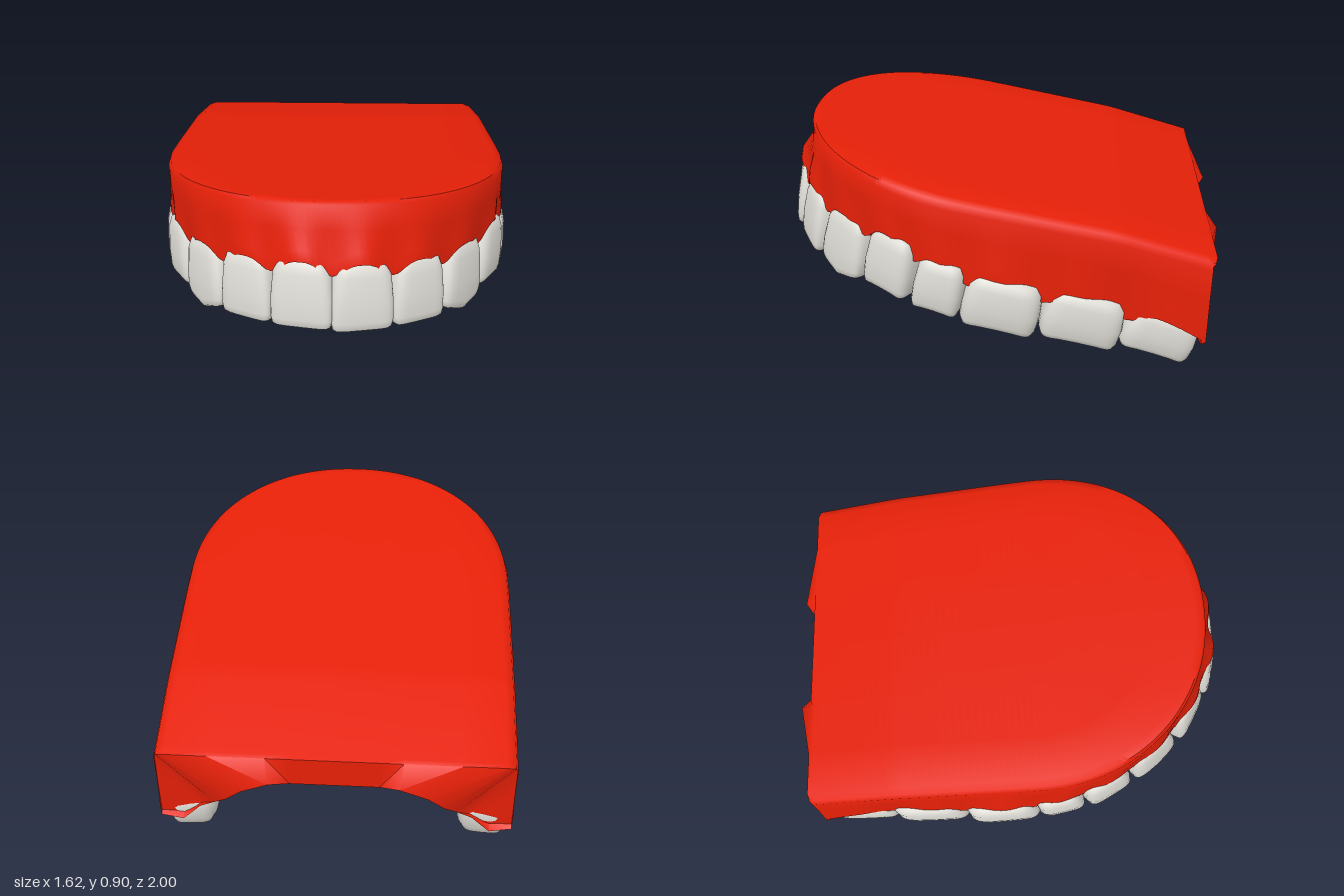
import * as THREE from 'three';
import { toCreasedNormals } from 'three/addons/utils/BufferGeometryUtils.js';

// One side of the arch, front to back: name, outer face x and z, yaw, width, depth,
// middle height, crown height, tilt, extra height on the right side
const TEETH = [
  ['centralIncisor', 0.13, 0.965, 0.22, 0.262, 0.19, 0.52, 0.295, 0.2, 0.012],
  ['lateralIncisor', 0.37, 0.86, 0.52, 0.245, 0.19, 0.49, 0.285, 0.2, 0.01],
  ['canine', 0.573, 0.68, 0.87, 0.265, 0.21, 0.45, 0.3, 0.2, -0.005],
  ['firstPremolar', 0.72, 0.455, 1.08, 0.245, 0.23, 0.44, 0.28, 0.2, -0.015],
  ['secondPremolar', 0.79, 0.225, 1.4, 0.225, 0.25, 0.365, 0.25, 0.2, 0],
  ['firstMolar', 0.81, -0.05, 1.55, 0.345, 0.27, 0.29, 0.25, 0.2, 0],
  ['secondMolar', 0.785, -0.4, 1.6, 0.36, 0.26, 0.22, 0.24, 0.22, 0.01],
  ['thirdMolar', 0.755, -0.735, 1.63, 0.335, 0.23, 0.14, 0.2, 0.33, 0.02],
];

function buildGeometry(positions, index, crease) {
  const geo = new THREE.BufferGeometry();
  geo.setAttribute('position', new THREE.Float32BufferAttribute(positions, 3));
  geo.setIndex(index);
  return toCreasedNormals(geo, crease);
}

// Crown: rounded-square loops stacked from the gum down to the biting edge
function toothGeometry(kind, w, d, h) {
  const levels = [0, 0.06, 0.22, 0.6, 0.88, 0.97, 1];
  const widths = [0.56, 0.78, 0.93, 1, 0.98, 0.93, 0.84];
  const fronts = [0.12, 0.05, 0.01, 0, 0.03, 0.06, 0.1];
  const backs = kind < 3 ? [0.8, 0.95, 1, 0.8, 0.5, 0.42, 0.36] : [0.8, 0.92, 1, 0.98, 0.88, 0.82, 0.74];
  const seg = 28;
  const pos = [];
  const index = [];
  const soft = (v) => Math.sign(v) * Math.pow(Math.abs(v), 0.45);
  levels.forEach((v, i) => {
    const mid = -d * (fronts[i] + backs[i]) / 2;
    const half = d * (backs[i] - fronts[i]) / 2;
    for (let s = 0; s < seg; s++) {
      const a = (s / seg) * Math.PI * 2;
      const cx = soft(Math.cos(a));
      const cz = soft(Math.sin(a));
      let y = h * (0.5 - v);
      if (v > 0.8 && kind === 2) y += 0.035 * Math.abs(cx) - 0.012; // pointed canine
      if (v > 0.8 && kind > 2) y += 0.005 * Math.cos(4 * a); // corner cusps
      if (v < 0.3 && kind > 3) y += 0.03 * (1 - cz); // taller inner face
      pos.push(cx * widths[i] * w / 2, y, mid + cz * half);
    }
  });
  for (let i = 0; i < levels.length - 1; i++) {
    for (let s = 0; s < seg; s++) {
      const a = i * seg + s;
      const b = i * seg + (s + 1) % seg;
      index.push(a, b, a + seg, b, b + seg, a + seg);
    }
  }
  // Close the top, and the bottom with a shallow hollow on chewing teeth
  const last = (levels.length - 1) * seg;
  const top = pos.length / 3;
  pos.push(0, h / 2, -d / 2);
  pos.push(0, -h / 2 + (kind > 2 ? 0.025 : 0), -d * (kind < 3 ? 0.23 : 0.42));
  for (let s = 0; s < seg; s++) {
    const n = (s + 1) % seg;
    index.push(top, n, s, top + 1, last + s, last + n);
  }
  return buildGeometry(pos, index, 0.9);
}

// Sloping flat top of the base
const topY = (z) => 0.737 + 0.19 * z - 0.09 * Math.max(0, -0.53 - z);

// Gum and palate: one closed cross-section carried around the arch
function gumGeometry() {
  const side = (s) => TEETH.map((t) => new THREE.Vector3(s * t[1], t[6] + t[7] / 2 + (s < 0 ? t[9] : 0), t[2]));
  const end = (s) => new THREE.Vector3(s * 0.75, 0.13, -0.94);
  const arch = new THREE.CatmullRomCurve3([end(1), ...side(1).reverse(), ...side(-1), end(-1)]);
  const spans = TEETH.length * 2 + 1;
  const steps = spans * 10;
  const K = 18;
  const pos = [];
  const index = [];
  for (let j = 0; j <= steps; j++) {
    const p = arch.getPoint(j / steps);
    const u = (j / steps) * spans;
    const atEnd = j === 0 || j === steps ? 1 : 0;
    // Margin dips between neighbouring teeth
    const dip = u > 1 && u < spans - 1 ? Math.sin(Math.PI * u) ** 2 : 0;
    const margin = p.y - 0.005 - 0.065 * dip ** 1.5;
    // Gum stands further out over the last molars, and higher inside all of them
    const back = THREE.MathUtils.smoothstep(-p.z, 0.45, 0.8);
    const raise = 0.06 * THREE.MathUtils.smoothstep(-p.z, -0.25, 0.1);
    let rx = Math.sign(p.x) * (0.762 - 0.015 * Math.max(0, -p.z));
    let rz = p.z;
    if (p.z > 0.1) {
      const a = Math.atan2(Math.abs(p.x) / 0.762, (p.z - 0.1) / 0.77);
      rx = Math.sign(p.x) * 0.762 * Math.sin(a) ** 0.94;
      rz = 0.1 + 0.77 * Math.cos(a) ** 0.94;
    }
    const sz = Math.min(rz, 0.1);
    const dir = new THREE.Vector2(-p.x, sz - p.z).normalize();
    const inset = (d) => [p.x + dir.x * d, p.z + dir.y * d];
    const rim = (f) => [rx * f, sz + (rz - sz) * f];
    const mix = (a, b, f) => [a[0] + (b[0] - a[0]) * f, a[1] + (b[1] - a[1]) * f];
    const put = ([x, z], y, dz = 0) => pos.push(x, y, z + dz * atEnd);
    const edge = inset(0.022 + 0.015 * dip - 0.027 * back);
    const ty = topY(rz);
    const roof = (f) => topY(rim(f)[1]);
    const round = (rx / 0.76) ** 2;
    // Flat top and softened rim
    for (const f of [0, 0.26, 0.38, 0.7, 0.94]) put(rim(f), roof(f));
    put(rim(0.985), roof(0.985) - 0.012 * round, 0.01);
    put(rim(1), ty - 0.012 - 0.03 * round, 0.035);
    // Outer wall down to the margin
    put(mix(rim(1), edge, 0.15), ty + (p.y - 0.03 - ty) * 0.45, 0.025);
    put(mix(rim(1), edge, 0.85), ty + (margin - ty) * 0.8, 0.035);
    put(edge, margin, 0.04);
    // Underside, hidden by the teeth
    put(inset(0.09), margin - 0.02, 0.05);
    put(inset(0.17), Math.max(margin - 0.04 + raise, 0.2), 0.04);
    // Inner wall and vaulted palate
    const smooth = Math.max(p.y - 0.05 + raise, 0.24);
    put(inset(0.235), Math.max(margin - 0.02 + raise, 0.23), 0.02);
    put(inset(0.29), smooth + (ty - 0.2 - smooth) * 0.5, -0.01);
    put(inset(0.36), Math.max(ty - 0.165, smooth), -0.035);
    put(rim(0.36), roof(0.36) - 0.14 + 0.05 * atEnd, -0.06);
    put(rim(0.25), roof(0.25) - 0.14);
    put(rim(0), roof(0) - 0.14);
  }
  for (let j = 0; j < steps; j++) {
    for (let k = 0; k < K; k++) {
      const a = j * K + k;
      const c = j * K + (k + 1) % K;
      index.push(a, a + K, c, c, a + K, c + K);
    }
  }
  // Back faces of both ends
  const e = steps * K;
  for (let i = 0; i < K / 2 - 1; i++) {
    const a = i, b = i + 1, c = K - 2 - i, d = K - 1 - i;
    index.push(a, b, d, b, c, d);
    index.push(e + a, e + d, e + b, e + b, e + d, e + c);
  }
  return buildGeometry(pos, index, 0.95);
}

export function createModel() {
  const gumRed = new THREE.MeshStandardMaterial({ color: 0xe62008, side: THREE.DoubleSide });
  gumRed.name = 'gumRed';
  const toothWhite = new THREE.MeshStandardMaterial({ color: 0xdedcd5 });
  toothWhite.name = 'toothWhite';

  const model = new THREE.Group();
  model.name = 'upperDenture';
  const gum = new THREE.Mesh(gumGeometry(), gumRed);
  gum.name = 'gumAndPalate';
  model.add(gum);

  // Mirrored teeth
  const teeth = new THREE.Group();
  teeth.name = 'teeth';
  TEETH.forEach(([name, x, z, yaw, w, d, y, h, tilt, lift], kind) => {
    const geo = toothGeometry(kind, w, d, h);
    for (const s of [1, -1]) {
      const tooth = new THREE.Mesh(geo, toothWhite);
      tooth.name = (s > 0 ? 'left_' : 'right_') + name;
      tooth.position.set(s * x, y + (s < 0 ? lift : 0), z);
      tooth.rotation.set(-tilt, s * yaw, 0);
      teeth.add(tooth);
    }
  });
  model.add(teeth);
  return model;
}
